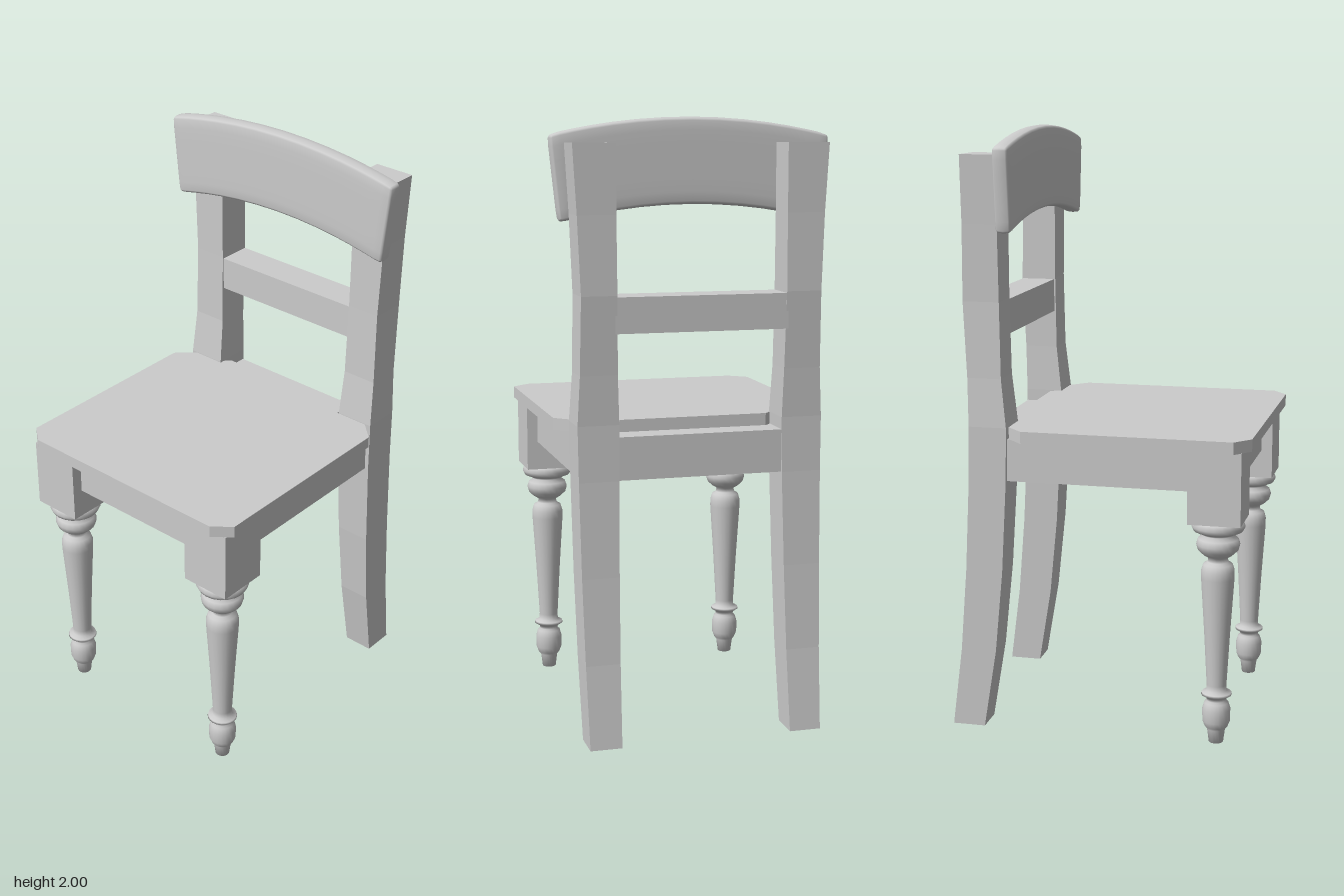
import * as THREE from 'three';
import { mergeVertices } from 'three/addons/utils/BufferGeometryUtils.js';

const flat = new THREE.MeshStandardMaterial({ color: 0xcccccc, flatShading: true });
const smooth = new THREE.MeshStandardMaterial({ color: 0xcccccc });

function part(name, geometry, material = flat) {
  const mesh = new THREE.Mesh(geometry, material);
  mesh.name = name;
  return mesh;
}

// Box given by its limits on each axis
function block(name, x0, x1, y0, y1, z0, z1) {
  const g = new THREE.BoxGeometry(x1 - x0, y1 - y0, z1 - z0);
  g.translate((x0 + x1) / 2, (y0 + y1) / 2, (z0 + z1) / 2);
  return part(name, g);
}

// Curved back post: rows of [y, back z, front z, inner x, outer x]
const POST = [
  [0, -0.505, -0.395, 0.285, 0.39],
  [0.27, -0.47, -0.35, 0.281, 0.395],
  [0.55, -0.447, -0.322, 0.277, 0.4],
  [0.86, -0.431, -0.304, 0.272, 0.404],
  [1.04, -0.427, -0.3, 0.271, 0.406],
  [1.2, -0.431, -0.317, 0.276, 0.398],
  [1.45, -0.443, -0.321, 0.279, 0.395],
  [1.7, -0.438, -0.321, 0.28, 0.405],
  [1.92, -0.438, -0.321, 0.28, 0.418],
];

function backPost(side) {
  const n = POST.length - 1;
  const g = new THREE.BoxGeometry(1, 1, 1, 1, n, 1);
  const p = g.attributes.position;
  for (let i = 0; i < p.count; i++) {
    const [y, zBack, zFront, xIn, xOut] = POST[Math.round((p.getY(i) + 0.5) * n)];
    const x = side * (xIn + xOut) / 2 + p.getX(i) * (xOut - xIn);
    p.setXYZ(i, x, y, p.getZ(i) > 0 ? zFront : zBack);
  }
  g.computeVertexNormals();
  return part('backPost', g);
}

// Turned front leg: [radius, y]
const LEG = [
  [0, 0], [0.024, 0], [0.03, 0.045], [0.038, 0.055], [0.046, 0.075], [0.047, 0.115], [0.04, 0.138],
  [0.032, 0.145], [0.034, 0.155], [0.051, 0.166], [0.049, 0.173], [0.034, 0.18], [0.033, 0.2],
  [0.043, 0.38], [0.055, 0.565], [0.055, 0.59], [0.048, 0.612], [0.034, 0.62], [0.032, 0.634],
  [0.05, 0.645], [0.066, 0.66], [0.072, 0.68], [0.066, 0.698], [0.05, 0.71],
  [0.06, 0.717], [0.08, 0.725], [0.088, 0.74], [0.082, 0.756], [0.07, 0.762], [0, 0.762],
].map(([r, y]) => new THREE.Vector2(r, y));

function frontLeg(side) {
  const leg = new THREE.Group();
  leg.name = 'frontLeg';
  const turning = part('turnedLeg', new THREE.LatheGeometry(LEG, 20), smooth);
  turning.position.set(side * 0.34, 0, 0.392);
  const x = side * 0.34;
  leg.add(turning, block('legBlock', x - 0.087, x + 0.087, 0.76, 1, 0.305, 0.478));
  return leg;
}

// Seat board with clipped corners and a tongue between the back posts
function seat() {
  const half = [[0.385, 0.505], [0.445, 0.455], [0.445, -0.24], [0.385, -0.297],
    [0.268, -0.297], [0.268, -0.315], [0.248, -0.335]];
  const outline = [...half, ...half.map(([x, z]) => [-x, z]).reverse()];
  const shape = new THREE.Shape(outline.map(([x, z]) => new THREE.Vector2(x, -z)));
  const g = new THREE.ExtrudeGeometry(shape, { depth: 0.04, bevelEnabled: false });
  g.rotateX(-Math.PI / 2).translate(0, 1, 0);
  return part('seat', g);
}

// Soft-edged crest rail, arched along its length and wider at the top
function crestRail() {
  const half = new THREE.Vector3(0.45, 0.138, 0.0285);
  const radius = 0.02;
  const inner = half.clone().subScalar(radius);
  let g = new THREE.BoxGeometry(2, 2, 2, 16, 8, 4);
  g.deleteAttribute('normal');
  g.deleteAttribute('uv');
  g = mergeVertices(g);
  const p = g.attributes.position;
  const v = new THREE.Vector3();
  const core = new THREE.Vector3();
  for (let i = 0; i < p.count; i++) {
    v.fromBufferAttribute(p, i);
    // crowd the grid towards the edges, then round them
    for (const a of ['x', 'y', 'z']) v[a] = Math.sin(v[a] * Math.PI / 2) * half[a];
    core.copy(v).clamp(inner.clone().negate(), inner);
    v.sub(core).setLength(radius).add(core);
    const x = v.x * (1 + 0.033 * v.y / half.y);
    p.setXYZ(i, x, 1.862 + v.y - 0.055 * (v.x / half.x) ** 2, v.z - 0.2925);
  }
  g.computeVertexNormals();
  return part('crestRail', g, smooth);
}

export function createModel() {
  const chair = new THREE.Group();
  chair.name = 'chair';
  chair.add(seat(), crestRail());

  for (const side of [-1, 1]) {
    chair.add(backPost(side), frontLeg(side));
    const x = side * 0.345;
    chair.add(block('sideApron', x - 0.045, x + 0.045, 0.86, 1, -0.32, 0.32));
  }

  chair.add(
    block('frontApron', -0.27, 0.27, 0.86, 1, 0.345, 0.44),
    block('backApron', -0.285, 0.285, 0.86, 1, -0.425, -0.31),
    block('middleRail', -0.285, 0.285, 1.33, 1.445, -0.44, -0.325),
  );
  return chair;
}
